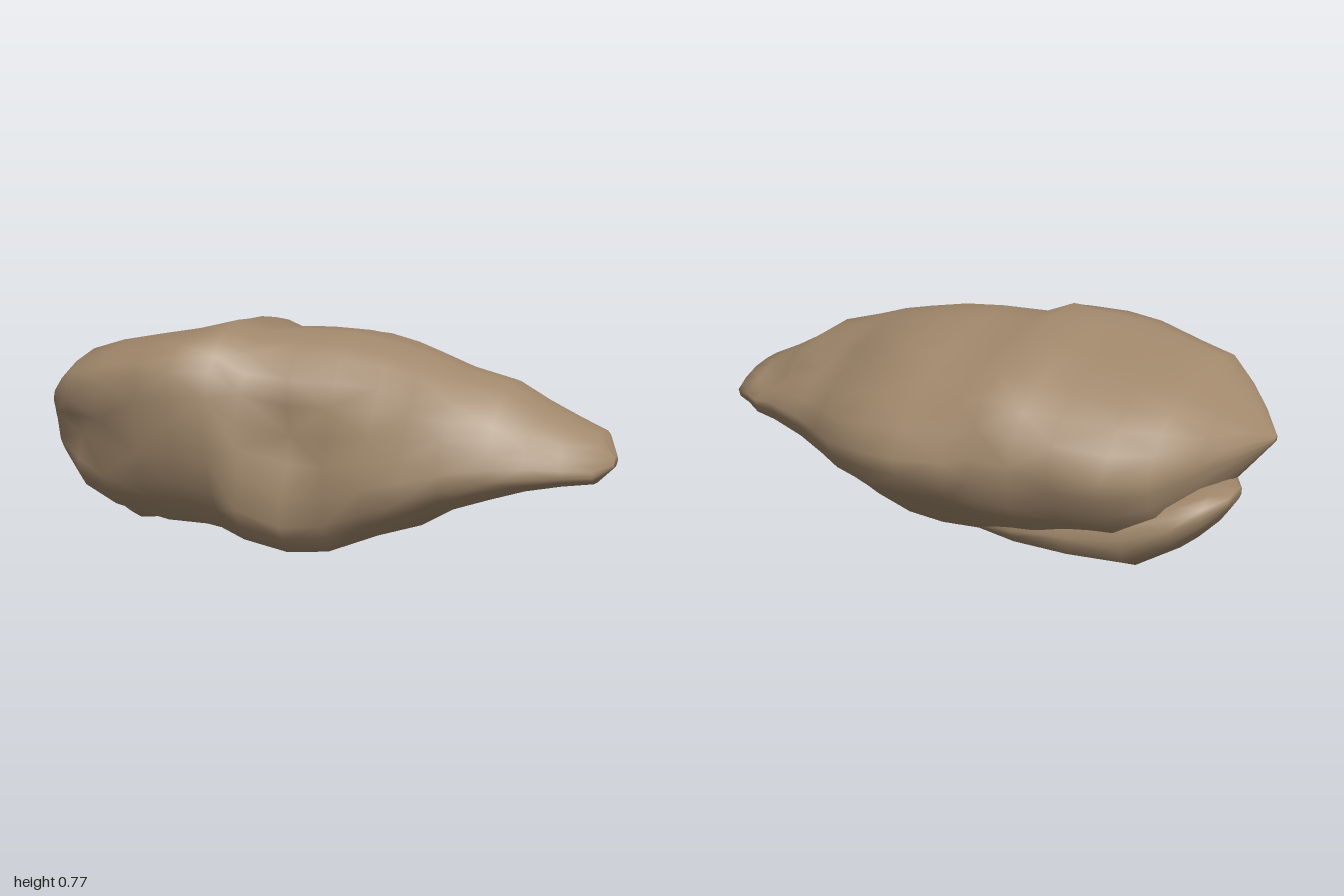
import * as THREE from 'three';

// Stations along the boulder: x, bottom y, top y, back z, front z
const BODY = [
  [-1.0, 0.42, 0.44, 0.19, 0.22], [-0.93, 0.33, 0.52, -0.02, 0.31], [-0.86, 0.24, 0.565, -0.12, 0.41],
  [-0.77, 0.13, 0.65, -0.29, 0.485], [-0.65, 0.06, 0.69, -0.38, 0.51], [-0.48, 0.035, 0.725, -0.42, 0.54],
  [-0.36, 0.03, 0.75, -0.46, 0.52], [-0.24, 0.03, 0.78, -0.495, 0.495], [-0.15, 0.025, 0.74, -0.515, 0.48],
  [0, 0.012, 0.745, -0.545, 0.45], [0.14, 0.02, 0.74, -0.54, 0.43], [0.28, 0.065, 0.715, -0.53, 0.435],
  [0.4, 0.1, 0.685, -0.455, 0.43], [0.52, 0.175, 0.645, -0.4, 0.405], [0.66, 0.23, 0.61, -0.365, 0.355],
  [0.76, 0.265, 0.545, -0.34, 0.3], [0.86, 0.285, 0.49, -0.27, 0.23], [0.95, 0.29, 0.45, -0.21, 0.15],
  [1.0, 0.345, 0.38, -0.02, 0.06],
];
const LOBE = [
  [-0.95, 0.27, 0.31, -0.07, 0.06], [-0.9, 0.19, 0.33, -0.17, 0.16], [-0.82, 0.1, 0.32, -0.23, 0.26],
  [-0.68, 0.0, 0.3, -0.28, 0.3], [-0.5, 0.02, 0.25, -0.31, 0.28], [-0.3, 0.03, 0.2, -0.31, 0.2],
  [-0.12, 0.05, 0.12, -0.24, 0.0],
];
// Unit outlines (z, y), from the crown over the back, under and up the front
const BLUFF = [[0.5, 1], [0.1, 0.93], [-0.37, 0.81], [-0.78, 0.56], [-1, 0.1], [-0.92, -0.32], [-0.7, -0.65], [-0.42, -0.9],
  [-0.05, -1], [0.34, -1], [0.7, -0.79], [0.92, -0.38], [1, 0.25], [0.95, 0.68], [0.78, 0.9]];
const MIDDLE = [[0.4, 1], [0.05, 0.97], [-0.35, 0.83], [-0.75, 0.51], [-1, 0.08], [-0.95, -0.28], [-0.71, -0.55], [-0.43, -0.85],
  [0, -1], [0.5, -0.99], [0.9, -0.95], [0.99, -0.65], [0.95, -0.1], [0.86, 0.42], [0.66, 0.82]];
const WEDGE = [[0.3, 1], [0, 0.94], [-0.38, 0.76], [-0.74, 0.42], [-1, -0.02], [-0.94, -0.38], [-0.71, -0.66], [-0.4, -0.88],
  [0, -1], [0.42, -0.95], [0.8, -0.78], [1, -0.42], [0.92, 0.0], [0.78, 0.45], [0.55, 0.82]];
const BLOCK = [[0.4, 1], [-0.4, 1], [-0.82, 0.75], [-1, 0.2], [-0.92, -0.35], [-0.55, -0.75], [0.1, -1], [0.55, -0.95], [0.95, -0.4],
  [0.9, 0.6]];
// Local pushes: centre, radius, offset
const DENTS = [
  [[0.76, 0.5, -0.22], 0.09, [-0.02, -0.06, 0.02]], // hollow at the thin end
  [[0.56, 0.58, -0.18], 0.09, [0, -0.03, 0]],       // groove leading into it
  [[-0.72, 0.36, 0.47], 0.1, [0.02, 0, -0.07]],     // cleft in the front
  [[-0.04, 0.4, 0.38], 0.13, [0, -0.01, -0.06]],    // front scoop
  [[-0.4, 0.62, -0.33], 0.1, [0, -0.02, 0.01]],
  [[0.3, 0.2, -0.42], 0.14, [0, 0.03, 0.05]],
  [[0.6, 0.25, 0.05], 0.15, [0, 0.03, 0]],
];

const wobble = (x, y, z) =>
  Math.sin(9 * x + 5 * y + 1) * Math.sin(8 * z - 4 * x + 2) + 0.6 * Math.sin(17 * y + 11 * z - 7 * x);

function weather(v, amount) {
  const p = v.clone();
  for (const [c, r, o] of DENTS) {
    const k = Math.exp(-p.distanceToSquared(new THREE.Vector3(...c)) / (r * r));
    v.addScaledVector(new THREE.Vector3(...o), k);
  }
  const n = wobble(p.x, p.y, p.z) * amount;
  v.z += n * Math.sign(p.z) * Math.min(1, Math.abs(p.z) * 3);
  v.y = Math.max(v.y + n * (p.y - 0.38), 0);
  return v;
}

// Blend two outlines point by point
const blend = (a, b, t) => a.map(([u, w], i) => [u + (b[i][0] - u) * t, w + (b[i][1] - w) * t]);

function bodyOutline(x) {
  if (x < 0) return blend(BLUFF, MIDDLE, THREE.MathUtils.smoothstep(x, -0.35, 0));
  return blend(MIDDLE, WEDGE, THREE.MathUtils.smoothstep(x, 0.05, 0.45));
}

// Skin lofted through the stations, two segments per outline step
function loft(stations, outlineAt, roughness) {
  const pos = [], idx = [], last = stations.length - 1;
  const sides = outlineAt(0).length * 2;
  stations.forEach(([x, lo, hi, back, front], i) => {
    const outline = outlineAt(x);
    const amount = i === 0 || i === last ? 0 : roughness;
    for (let j = 0; j < sides; j++) {
      const a = outline[Math.floor(j / 2)], b = outline[Math.ceil(j / 2) % outline.length];
      const u = (a[0] + b[0]) / 2, w = (a[1] + b[1]) / 2;
      const v = new THREE.Vector3(x, (lo + hi) / 2 + w * (hi - lo) / 2, (back + front) / 2 + u * (front - back) / 2);
      pos.push(...weather(v, amount).toArray());
    }
  });
  for (let i = 0; i < last; i++) {
    for (let j = 0; j < sides; j++) {
      const a = i * sides + j, c = i * sides + (j + 1) % sides, b = a + sides, d = c + sides;
      if ((i + j) % 2) idx.push(a, b, c, b, d, c);
      else idx.push(a, b, d, a, d, c);
    }
  }
  // End caps
  const end = last * sides;
  for (let j = 1; j < sides - 1; j++) {
    idx.push(0, j, j + 1, end, end + j + 1, end + j);
  }
  const g = new THREE.BufferGeometry();
  g.setAttribute('position', new THREE.Float32BufferAttribute(pos, 3));
  g.setIndex(idx);
  g.computeVertexNormals();
  return g;
}

export function createModel() {
  const group = new THREE.Group();
  group.name = 'boulder';
  const stone = new THREE.MeshStandardMaterial({ color: 0xa0876b });
  stone.name = 'brown stone';
  const add = (name, geometry) => {
    const mesh = new THREE.Mesh(geometry, stone);
    mesh.name = name;
    group.add(mesh);
  };
  add('rockBody', loft(BODY, bodyOutline, 0.014));
  // Low lobe jutting out beneath the blunt end
  add('underLobe', loft(LOBE, () => BLOCK, 0.008));
  return group;
}
